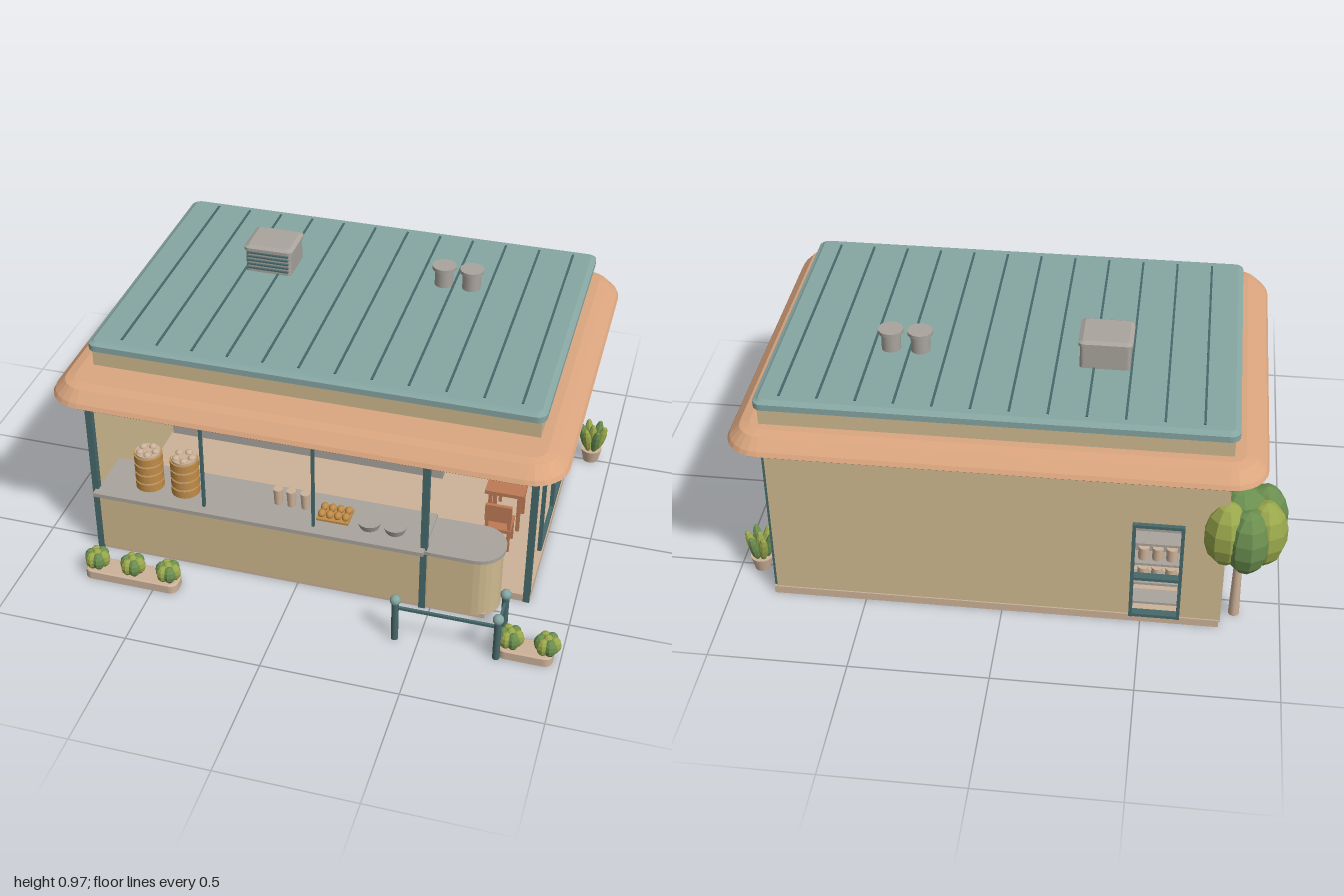
import * as THREE from 'three';

const mat = (name, color, extra = {}) => Object.assign(new THREE.MeshStandardMaterial({ color, ...extra }), { name });
const M = {
  wall: mat('sand wall', 0xcfba8f),
  eave: mat('terracotta eave', 0xdba67f),
  roof: mat('pale teal roof', 0x86a6a2),
  frame: mat('dark teal frame', 0x47686a),
  metal: mat('warm grey metal', 0xa9a49d),
  leaf: mat('leaf green', 0x6b8f50, { flatShading: true }),
  lime: mat('light leaf green', 0x9aa84c, { flatShading: true }),
  wood: mat('furniture wood', 0xbd7a56),
  bamboo: mat('bamboo', 0xc08c48),
  stone: mat('pale stone', 0xcdb299),
};

const group = (parent, name, x = 0, y = 0, z = 0) => {
  const g = new THREE.Group();
  g.name = name;
  g.position.set(x, y, z);
  parent.add(g);
  return g;
};
const add = (parent, name, geo, m, x = 0, y = 0, z = 0) => {
  const mesh = new THREE.Mesh(geo, m);
  mesh.name = name;
  mesh.position.set(x, y, z);
  parent.add(mesh);
  return mesh;
};
// Box given by its limits on each axis
const box = (p, name, m, x0, x1, y0, y1, z0, z1) => add(p, name,
  new THREE.BoxGeometry(x1 - x0, y1 - y0, z1 - z0), m, (x0 + x1) / 2, (y0 + y1) / 2, (z0 + z1) / 2);
// Upright cylinder standing on y0
const cyl = (p, name, m, x, y0, z, rTop, h, rBot = rTop, seg = 16) =>
  add(p, name, new THREE.CylinderGeometry(rTop, rBot, h, seg), m, x, y0 + h / 2, z);
const ball = (p, name, m, x, y, z, rx, ry = rx, rz = rx, ws = 12, hs = 8) => {
  const b = add(p, name, new THREE.SphereGeometry(1, ws, hs), m, x, y, z);
  b.scale.set(rx, ry, rz);
  return b;
};

// Stack of rounded rectangles; each layer is [y, inset]
function roundedStack(x0, x1, z0, z1, r, layers) {
  const pos = [], idx = [], seg = 6, n = 4 * (seg + 1);
  for (const [y, inset] of layers) {
    const rr = Math.max(r - inset, 0.01);
    for (let c = 0; c < 4; c++) for (let i = 0; i <= seg; i++) {
      const a = (c + i / seg) * Math.PI / 2;
      const cx = c === 0 || c === 3 ? x1 - inset - rr : x0 + inset + rr;
      const cz = c < 2 ? z1 - inset - rr : z0 + inset + rr;
      pos.push(cx + rr * Math.cos(a), y, cz + rr * Math.sin(a));
    }
  }
  for (let k = 0; k < layers.length - 1; k++) for (let i = 0; i < n; i++) {
    const a = k * n + i, b = k * n + (i + 1) % n;
    idx.push(a, a + n, b, b, a + n, b + n);
  }
  const top = (layers.length - 1) * n;
  for (let i = 1; i < n - 1; i++) idx.push(0, i, i + 1, top, top + i + 1, top + i);
  const g = new THREE.BufferGeometry();
  g.setAttribute('position', new THREE.Float32BufferAttribute(pos, 3));
  g.setIndex(idx);
  const flat = g.toNonIndexed();
  flat.computeVertexNormals();
  return flat;
}

function buildShell(root) {
  const g = group(root, 'shell');
  box(g, 'floor', M.stone, -0.78, 0.84, 0, 0.03, -0.65, 0.42);
  // Back wall in pieces around the door opening
  box(g, 'backWallLeft', M.wall, -0.46, 0.83, 0.03, 0.69, -0.645, -0.625);
  box(g, 'backWallRight', M.wall, -0.78, -0.64, 0.03, 0.69, -0.645, -0.625);
  box(g, 'backWallOverDoor', M.wall, -0.64, -0.46, 0.45, 0.69, -0.645, -0.625);
  box(g, 'sideWall', M.wall, -0.785, -0.765, 0.02, 0.69, -0.645, 0.55);
  // Back door frame with cross bar
  for (const x of [-0.64, -0.47]) box(g, 'backDoorPost', M.frame, x, x + 0.012, 0.03, 0.45, -0.662, -0.62);
  for (const y of [0.03, 0.2, 0.437]) box(g, 'backDoorRail', M.frame, -0.64, -0.46, y, y + 0.012, -0.66, -0.63);
  // Main columns
  for (const [x, z] of [[-0.775, 0.545], [0.47, 0.545], [0.828, 0.412], [0.828, -0.628]])
    box(g, 'column', M.frame, x - 0.012, x + 0.012, 0, 0.69, z - 0.012, z + 0.012);
  // Front and side window bars
  for (const x of [-0.355, 0.06]) box(g, 'frontMullion', M.frame, x - 0.005, x + 0.005, 0.27, 0.69, 0.535, 0.549);
  box(g, 'frontHeader', M.frame, -0.78, 0.48, 0.675, 0.69, 0.537, 0.552);
  for (const z of [0.155, -0.105, -0.335]) box(g, 'sideMullion', M.frame, 0.82, 0.835, 0.03, 0.69, z - 0.005, z + 0.005);
  box(g, 'sideHeader', M.frame, 0.82, 0.836, 0.675, 0.69, -0.63, 0.41);
  box(g, 'sideSill', M.frame, 0.82, 0.836, 0.03, 0.045, -0.63, 0.155);
  box(g, 'entranceHead', M.frame, 0.822, 0.834, 0.53, 0.54, 0.155, 0.41);
}

function buildRoof(root) {
  const g = group(root, 'roof');
  add(g, 'eave', roundedStack(-0.905, 0.95, -0.755, 0.645, 0.13,
    [[0.69, 0.012], [0.7, 0], [0.715, 0.008], [0.752, 0.045], [0.76, 0.08]]), M.eave);
  box(g, 'parapet', M.wall, -0.785, 0.835, 0.755, 0.83, -0.645, 0.45);
  add(g, 'roofSlab', roundedStack(-0.8, 0.85, -0.665, 0.47, 0.035,
    [[0.826, 0.006], [0.83, 0], [0.853, 0], [0.858, 0.012], [0.864, 0.02]]), M.roof);
  for (let i = 0; i < 12; i++) {
    const x = -0.68 + i * 0.131;
    box(g, 'roofSeam', M.frame, x - 0.004, x + 0.004, 0.86, 0.868, -0.62, 0.42);
  }
  // Cooling unit with front louvres
  add(g, 'coolingUnit', roundedStack(-0.42, -0.23, -0.335, -0.162, 0.02,
    [[0.862, 0.006], [0.95, 0.006], [0.953, 0], [0.964, 0], [0.972, 0.015]]), M.metal);
  for (let i = 0; i < 5; i++)
    box(g, 'louvre', M.frame, -0.405, -0.245, 0.879 + i * 0.016, 0.884 + i * 0.016, -0.17, -0.16);
  for (const x of [0.33, 0.435]) {
    cyl(g, 'ventPipe', M.metal, x, 0.86, -0.277, 0.035, 0.075);
    cyl(g, 'ventCap', M.metal, x, 0.93, -0.277, 0.045, 0.014);
  }
}

function buildCounter(root) {
  const g = group(root, 'counter');
  box(g, 'counterBase', M.stone, -0.77, 0.7, 0, 0.02, 0.38, 0.55);
  box(g, 'counterFront', M.wall, -0.77, 0.47, 0.015, 0.265, 0.375, 0.555);
  box(g, 'counterTop', M.metal, -0.775, 0.475, 0.264, 0.28, 0.355, 0.585);
  // Rounded end of the counter
  add(g, 'counterEnd', roundedStack(0.4, 0.74, 0.372, 0.555, 0.088, [[0.01, 0], [0.258, 0]]), M.wall);
  add(g, 'counterEndTop', roundedStack(0.4, 0.75, 0.362, 0.565, 0.098, [[0.256, 0], [0.271, 0]]), M.metal);
  // Steamer stacks with buns
  for (const x of [-0.59, -0.45]) {
    for (let i = 0; i < 4; i++) {
      cyl(g, 'steamerTier', M.bamboo, x, 0.282 + i * 0.038, 0.475, 0.053, 0.03, 0.053, 20);
      cyl(g, 'steamerGap', M.stone, x, 0.311 + i * 0.038, 0.475, 0.047, 0.01, 0.047, 20);
    }
    for (let i = 0; i < 5; i++)
      ball(g, 'bun', M.stone, x + 0.03 * Math.cos(i * 1.257), 0.435, 0.475 + 0.03 * Math.sin(i * 1.257), 0.015, 0.012);
  }
  for (const x of [-0.1, -0.05, 0.003]) cyl(g, 'cup', M.stone, x, 0.28, 0.45, 0.018, 0.065, 0.015);
  box(g, 'tray', M.bamboo, 0.06, 0.18, 0.28, 0.288, 0.42, 0.51);
  for (let i = 0; i < 8; i++)
    ball(g, 'roll', M.bamboo, 0.075 + (i % 4) * 0.03, 0.297, 0.445 + Math.floor(i / 4) * 0.04, 0.014, 0.014, 0.018);
  for (const x of [0.255, 0.35]) cyl(g, 'plateStack', M.metal, x, 0.28, 0.49, 0.045, 0.027, 0.035, 20);
}

function buildKitchen(root) {
  const g = group(root, 'kitchen');
  box(g, 'workCabinet', M.metal, -0.76, 0.38, 0.03, 0.288, -0.325, -0.172);
  box(g, 'workTop', M.metal, -0.765, 0.39, 0.286, 0.3, -0.335, -0.165);
  box(g, 'cooktop', M.frame, -0.43, -0.15, 0.3, 0.308, -0.31, -0.19);
  for (const x of [0.15, 0.3]) {
    cyl(g, 'stockPot', M.metal, x, 0.3, -0.23, 0.051, 0.105, 0.051, 20);
    cyl(g, 'potRim', M.metal, x, 0.403, -0.23, 0.055, 0.01, 0.055, 20);
  }
  cyl(g, 'tap', M.metal, -0.24, 0.3, -0.29, 0.006, 0.09);
  // Utensil rail with ladles
  box(g, 'utensilRail', M.frame, -0.45, -0.155, 0.473, 0.48, -0.343, -0.337);
  for (const x of [-0.42, -0.365, -0.31]) {
    box(g, 'ladleHandle', M.metal, x - 0.003, x + 0.003, 0.4, 0.475, -0.343, -0.337);
    ball(g, 'ladleBowl', M.metal, x, 0.393, -0.34, 0.012, 0.017, 0.008);
  }
  // Storage shelf by the back door
  for (const x of [-0.65, -0.46]) box(g, 'shelfSide', M.metal, x, x + 0.01, 0.03, 0.32, -0.6, -0.53);
  for (const y of [0.04, 0.13, 0.22, 0.31]) box(g, 'shelfBoard', M.metal, -0.65, -0.45, y, y + 0.01, -0.6, -0.53);
  for (const y of [0.14, 0.23]) for (const x of [-0.6, -0.55, -0.5]) cyl(g, 'jar', M.stone, x, y, -0.565, 0.02, 0.05);
}

function buildDining(root) {
  const g = group(root, 'dining');
  const chair = (z, dir) => {
    const c = group(g, 'chair', 0.67, 0.03, z);
    box(c, 'seat', M.wood, -0.05, 0.05, 0.088, 0.102, -0.05, 0.05);
    for (const sx of [-0.042, 0.042]) for (const sz of [-0.04, 0.04])
      box(c, 'leg', M.wood, sx - 0.006, sx + 0.006, 0, 0.09, sz - 0.006, sz + 0.006);
    for (const sx of [-0.042, 0.042]) box(c, 'backPost', M.wood, sx - 0.006, sx + 0.006, 0.1, 0.205, 0.034, 0.046);
    box(c, 'backRest', M.wood, -0.05, 0.05, 0.135, 0.208, 0.034, 0.048);
    if (dir < 0) c.rotation.y = Math.PI;
  };
  for (const z of [0.008, -0.335]) {
    const t = group(g, 'table', 0.67, 0.03, z);
    box(t, 'tableTop', M.wood, -0.075, 0.075, 0.165, 0.18, -0.075, 0.075);
    for (const sx of [-0.055, 0.055]) for (const sz of [-0.055, 0.055])
      box(t, 'leg', M.wood, sx - 0.007, sx + 0.007, 0, 0.166, sz - 0.007, sz + 0.007);
    chair(z + 0.145, 1);
    chair(z - 0.145, -1);
    // Pendant lamp over each table
    cyl(g, 'lampCord', M.frame, 0.625, 0.59, z, 0.004, 0.1);
    ball(g, 'lampShade', M.stone, 0.625, 0.582, z, 0.051, 0.022, 0.051, 20, 10);
  }
}

function buildGarden(root) {
  const g = group(root, 'garden');
  // Low round bushes made of upright lobes
  const bush = (x, z) => {
    const b = group(g, 'bush', x, 0.068, z);
    for (let i = 0; i < 6; i++) {
      const a = i * Math.PI / 3;
      ball(b, 'lobe', i % 2 ? M.leaf : M.lime, 0.025 * Math.cos(a), 0, 0.025 * Math.sin(a), 0.024, 0.034, 0.024, 8, 6);
    }
    ball(b, 'crown', M.lime, 0, 0.015, 0, 0.02, 0.025, 0.02, 8, 6);
  };
  for (const [x0, x1, xs] of [[-0.77, -0.41, [-0.73, -0.59, -0.452]], [0.78, 0.975, [0.82, 0.95]]]) {
    add(g, 'planter', roundedStack(x0, x1, 0.645, 0.735, 0.03, [[0, 0], [0.032, 0], [0.036, 0.006]]), M.stone);
    xs.forEach(x => bush(x, 0.69));
  }
  // Bollards with linking rails
  for (const [x, z] of [[0.415, 0.735], [0.78, 0.735], [0.78, 0.6]]) {
    cyl(g, 'bollard', M.frame, x, 0, z, 0.013, 0.17);
    ball(g, 'bollardKnob', M.roof, x, 0.177, z, 0.02);
  }
  box(g, 'bollardRail', M.frame, 0.415, 0.78, 0.139, 0.149, 0.73, 0.74);
  box(g, 'bollardRail', M.frame, 0.775, 0.785, 0.139, 0.149, 0.6, 0.735);
  // Potted plant
  const p = group(g, 'pottedPlant', 0.92, 0, -0.51);
  cyl(p, 'pot', M.stone, 0, 0, 0, 0.042, 0.055, 0.03);
  for (let i = 0; i < 7; i++) {
    const a = i * Math.PI / 3, r = i < 6 ? 0.034 : 0;
    const l = ball(p, 'leaf', i % 2 ? M.leaf : M.lime, r * Math.cos(a), 0.107, r * Math.sin(a), 0.018, 0.06, 0.018, 8, 6);
    l.rotation.set(0.25 * Math.sin(a), 0, i < 6 ? -0.25 * Math.cos(a) : 0);
  }
  // Tree with a ring of tall lobes
  const t = group(g, 'tree', -0.835, 0, -0.565);
  cyl(t, 'trunk', M.stone, 0, 0, 0, 0.014, 0.27, 0.02, 8);
  for (let i = 0; i < 4; i++) {
    const a = i * Math.PI / 2 + 0.4;
    const b = cyl(t, 'branch', M.stone, 0.024 * Math.cos(a), 0.2, 0.024 * Math.sin(a), 0.009, 0.14, 0.01, 6);
    b.rotation.set(0.3 * Math.sin(a), 0, -0.3 * Math.cos(a));
  }
  for (let i = 0; i < 7; i++) {
    const a = i * Math.PI * 2 / 7;
    ball(t, 'foliage', i % 2 ? M.leaf : M.lime, 0.085 * Math.cos(a), 0.415 + 0.012 * Math.sin(i * 2.4),
      0.09 * Math.sin(a), 0.083, 0.13, 0.085, 9, 7);
  }
  ball(t, 'treeCrown', M.leaf, 0.01, 0.46, 0, 0.1, 0.118, 0.1, 9, 7);
}

export function createModel() {
  const root = new THREE.Group();
  root.name = 'cafePavilion';
  [buildShell, buildRoof, buildCounter, buildKitchen, buildDining, buildGarden].forEach(f => f(root));
  return root;
}
